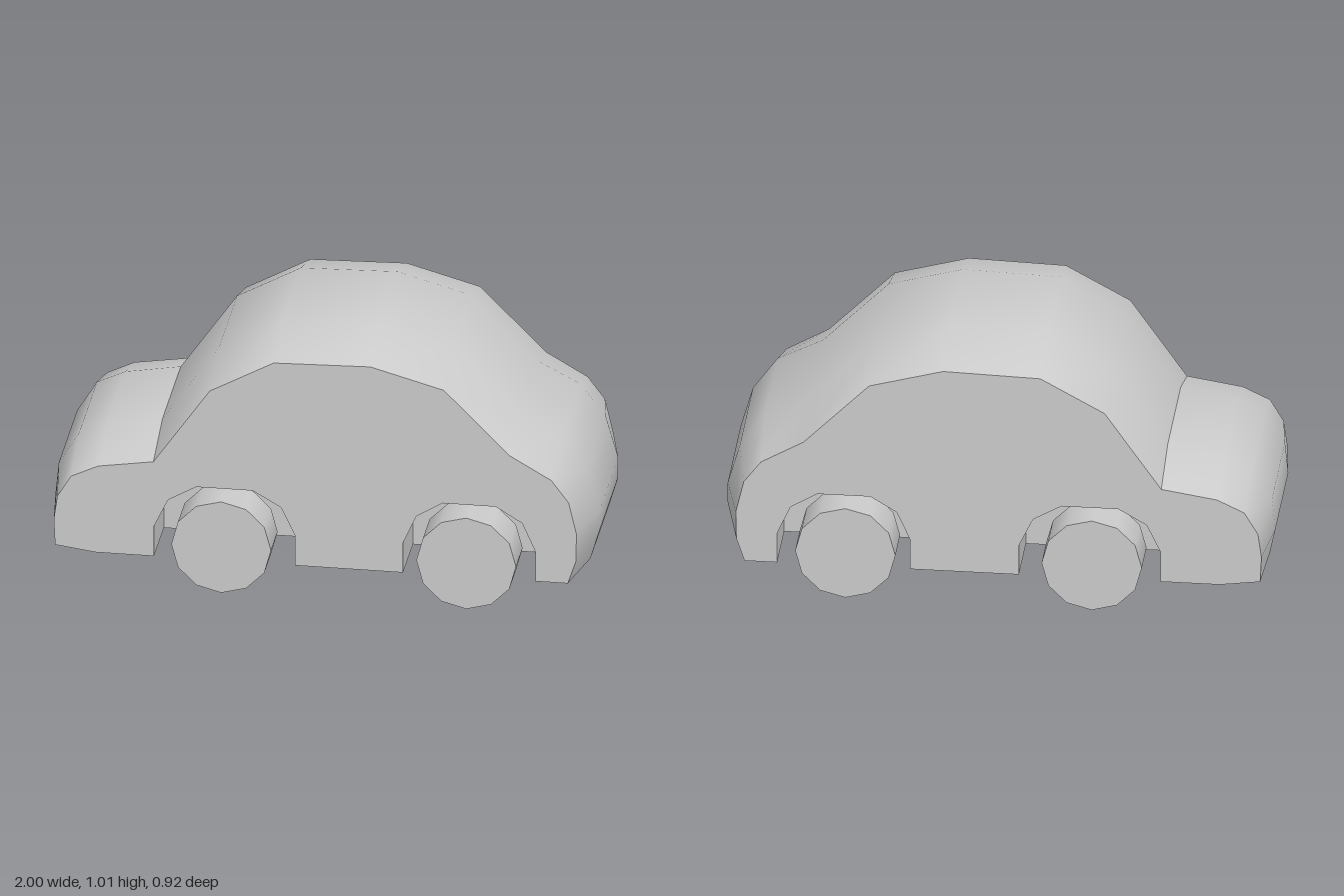
import * as THREE from 'three';
import { toCreasedNormals } from 'three/addons/utils/BufferGeometryUtils.js';

const SIDE = 0.44, RIM = 0.22, POCKET = 0.2, FLOOR = 0.12;

// Silhouette from nose to tail: [x, y] at the middle, then [x, y] at the sides
const PROFILE = [
  [-0.82, 0.12, -0.82, 0.12], [-0.98, 0.143, -0.968, 0.14], [-1.0, 0.24, -0.973, 0.24],
  [-0.988, 0.365, -0.96, 0.335], [-0.915, 0.485, -0.91, 0.42], [-0.81, 0.535, -0.81, 0.468],
  [-0.607, 0.57, -0.607, 0.5], [-0.4, 0.87, -0.4, 0.8], [-0.165, 1.0, -0.165, 0.93],
  [0.19, 1.01, 0.19, 0.94], [0.46, 0.935, 0.46, 0.865], [0.7, 0.69, 0.7, 0.62],
  [0.865, 0.605, 0.855, 0.53], [0.955, 0.48, 0.918, 0.445], [1.0, 0.32, 0.947, 0.32],
  [1.0, 0.24, 0.945, 0.21], [0.965, 0.12, 0.915, 0.12],
];

// Wheel arches: centre and half width
const ARCHES = [[-0.346, 0.259], [0.553, 0.243]];
const archPoints = ([cx, w]) => {
  const half = [[1, FLOOR], [1, 0.24], [0.8, 0.35], [0.4, 0.41]];
  return [
    ...half.map(([u, y]) => new THREE.Vector2(cx - u * w, y)),
    ...half.map(([u, y]) => new THREE.Vector2(cx + u * w, y)).reverse(),
  ];
};

// Surface through rows of equal length, creased only at sharp bends
function loft(rows, crease) {
  const n = rows[0].length, index = [];
  for (let i = 0; i < rows.length - 1; i++) {
    for (let j = 0; j < n - 1; j++) {
      const a = i * n + j, c = a + n;
      index.push(a, a + 1, c, c, a + 1, c + 1);
    }
  }
  const g = new THREE.BufferGeometry();
  g.setAttribute('position', new THREE.Float32BufferAttribute(rows.flat(2), 3));
  g.setIndex(index);
  return toCreasedNormals(g, crease);
}

export function createModel() {
  const car = new THREE.Group();
  car.name = 'car';
  const material = new THREE.MeshStandardMaterial({ color: 0xcccccc, side: THREE.DoubleSide });
  const add = (name, geometry, parent = car) => {
    const mesh = new THREE.Mesh(geometry, material);
    mesh.name = name;
    parent.add(mesh);
    return mesh;
  };

  // Hood, windows, roof and tail in one shell, sloping in towards the sides
  add('bodyShell', loft(PROFILE.map(([x, y, sx, sy]) => [
    [sx, sy, -SIDE], [x, y, -RIM], [x, y, RIM], [sx, sy, SIDE],
  ]), 0.72));

  // Flat sides with the arches cut out of the lower edge
  const outline = PROFILE.map(([, , x, y]) => new THREE.Vector2(x, y));
  for (const arch of [...ARCHES].reverse()) outline.push(...archPoints(arch).reverse());
  const sideGeometry = new THREE.ShapeGeometry(new THREE.Shape(outline));

  for (const s of [1, -1]) {
    const end = s > 0 ? 'Left' : 'Right';
    add('sidePanel' + end, sideGeometry).position.z = s * SIDE;

    ARCHES.forEach((arch, i) => {
      const where = (i ? 'rear' : 'front') + end;
      const points = archPoints(arch);

      // Arch lining and its inner wall
      const well = new THREE.Group();
      well.name = where + 'WheelWell';
      car.add(well);
      add('lining', loft(points.map(({ x, y }) => [[x, y, s * SIDE], [x, y, s * POCKET]]), 0.3), well);
      add('innerWall', new THREE.ShapeGeometry(new THREE.Shape(points)), well).position.z = s * POCKET;

      // Wheel
      const wheel = new THREE.CylinderGeometry(0.183, 0.183, 0.16, 12).rotateX(Math.PI / 2);
      add(where + 'Wheel', wheel).position.set(i ? 0.545 : -0.355, 0.183, s * 0.38);
    });
  }

  // Underside, notched at the wheel wells
  const edge = [[-0.82, SIDE]];
  for (const [cx, w] of ARCHES) {
    edge.push([cx - w, SIDE], [cx - w, POCKET], [cx + w, POCKET], [cx + w, SIDE]);
  }
  edge.push([0.915, SIDE], [0.965, RIM]);
  const around = [...edge, ...edge.map(([x, z]) => [x, -z]).reverse()];
  const floor = new THREE.Shape(around.map(([x, z]) => new THREE.Vector2(x, z)));
  add('underside', new THREE.ShapeGeometry(floor).rotateX(Math.PI / 2)).position.y = FLOOR;

  return car;
}
